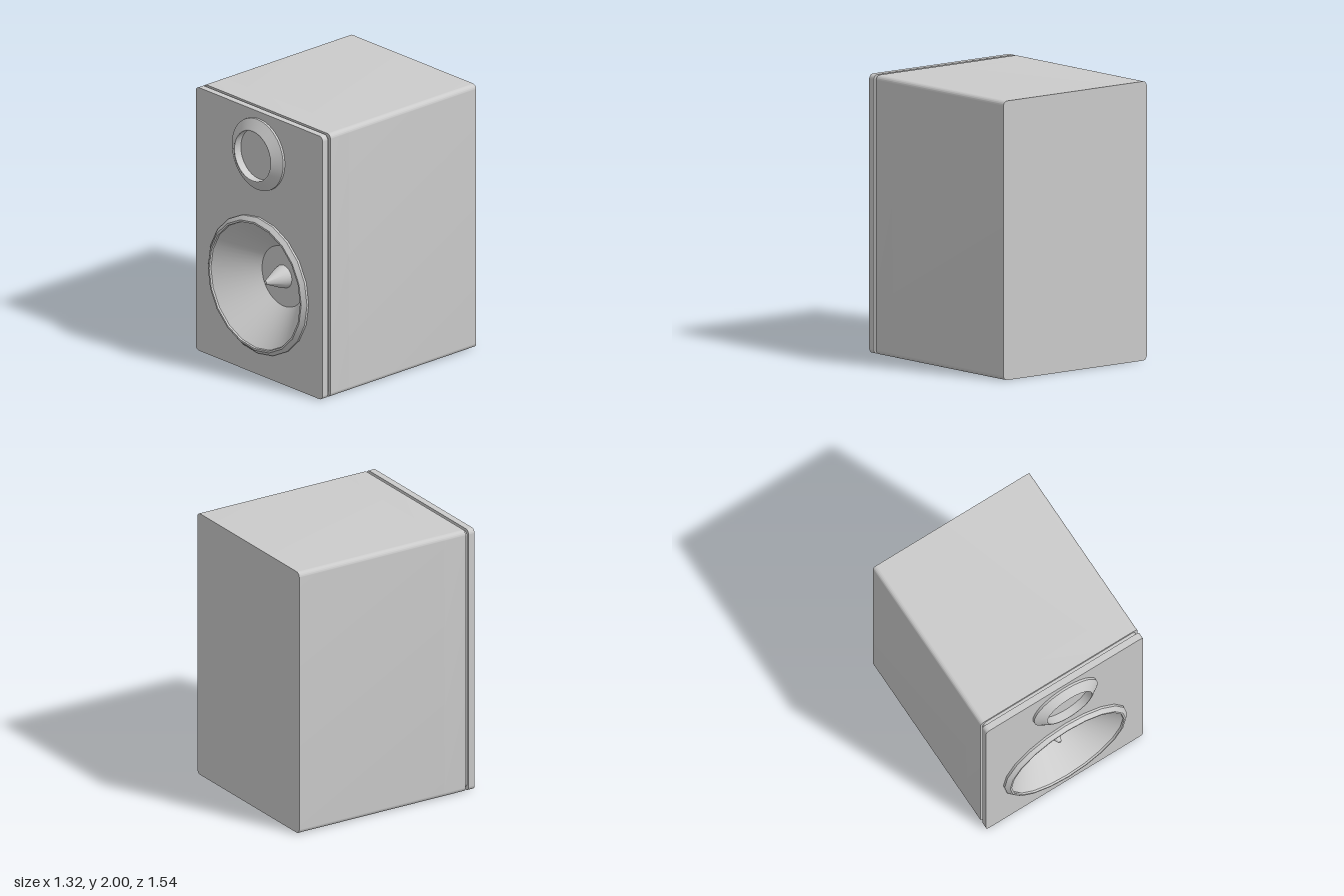
import * as THREE from 'three';
import { toCreasedNormals } from 'three/addons/utils/BufferGeometryUtils.js';

const WOOFER_Y = 0.685;
const TWEETER_Y = 1.68;

export function createModel() {
  const model = new THREE.Group();
  model.name = 'bookshelfSpeaker';
  const grey = new THREE.MeshStandardMaterial({ color: 0xcccccc });

  function add(name, geometry, parent = model) {
    const mesh = new THREE.Mesh(toCreasedNormals(geometry, 0.45), grey);
    mesh.name = name;
    parent.add(mesh);
    return mesh;
  }

  // Rounded rectangular slab between two depths, optionally with the woofer opening
  function slab(name, inset, z0, z1, opening) {
    const w = 0.66 - inset, b = inset, t = 2 - inset, r = 0.035;
    const shape = new THREE.Shape();
    shape.moveTo(w, b + r);
    shape.absarc(w - r, t - r, r, 0, Math.PI / 2);
    shape.absarc(-w + r, t - r, r, Math.PI / 2, Math.PI);
    shape.absarc(-w + r, b + r, r, Math.PI, Math.PI * 1.5);
    shape.absarc(w - r, b + r, r, Math.PI * 1.5, Math.PI * 2);
    if (opening) {
      const hole = new THREE.Path();
      hole.absarc(0, WOOFER_Y, 0.49, 0, Math.PI * 2, true);
      shape.holes.push(hole);
    }
    const geometry = new THREE.ExtrudeGeometry(shape, { depth: z1 - z0, bevelEnabled: false, curveSegments: 8 });
    geometry.translate(0, 0, z0);
    add(name, geometry);
  }

  // Turned part facing +z; profile is [radius, z], outer back edge first
  function turned(name, profile, sides, parent) {
    const points = profile.map(([r, z]) => new THREE.Vector2(r, z));
    add(name, new THREE.LatheGeometry(points, sides).rotateX(Math.PI / 2), parent);
  }

  // Cabinet, recessed seam and front panel
  slab('cabinet', 0, -0.77, 0.45, false);
  slab('cabinetFront', 0, 0.45, 0.63, true);
  slab('seam', 0.02, 0.63, 0.655, true);
  slab('frontPanel', 0, 0.655, 0.705, true);

  // Woofer: faceted rim, deep cone with flat centre, pointed plug
  const woofer = new THREE.Group();
  woofer.name = 'woofer';
  woofer.position.y = WOOFER_Y;
  model.add(woofer);
  turned('wooferRim', [[0.515, 0.7], [0.515, 0.722], [0.486, 0.75], [0.472, 0.75], [0.47, 0.735]], 20, woofer);
  turned('wooferCone', [[0.476, 0.738], [0.225, 0.47], [0, 0.47]], 60, woofer);
  turned('phasePlug', [[0.085, 0.47], [0.074, 0.51], [0.012, 0.645], [0, 0.652]], 32, woofer);

  // Tweeter: chamfered ring around a flat recessed disc
  const tweeter = new THREE.Group();
  tweeter.name = 'tweeter';
  tweeter.position.y = TWEETER_Y;
  model.add(tweeter);
  turned('tweeterRing', [[0.267, 0.7], [0.267, 0.722], [0.195, 0.77], [0.187, 0.77], [0.187, 0.7]], 48, tweeter);
  turned('tweeterDisc', [[0.189, 0.709], [0, 0.709]], 48, tweeter);

  return model;
}
